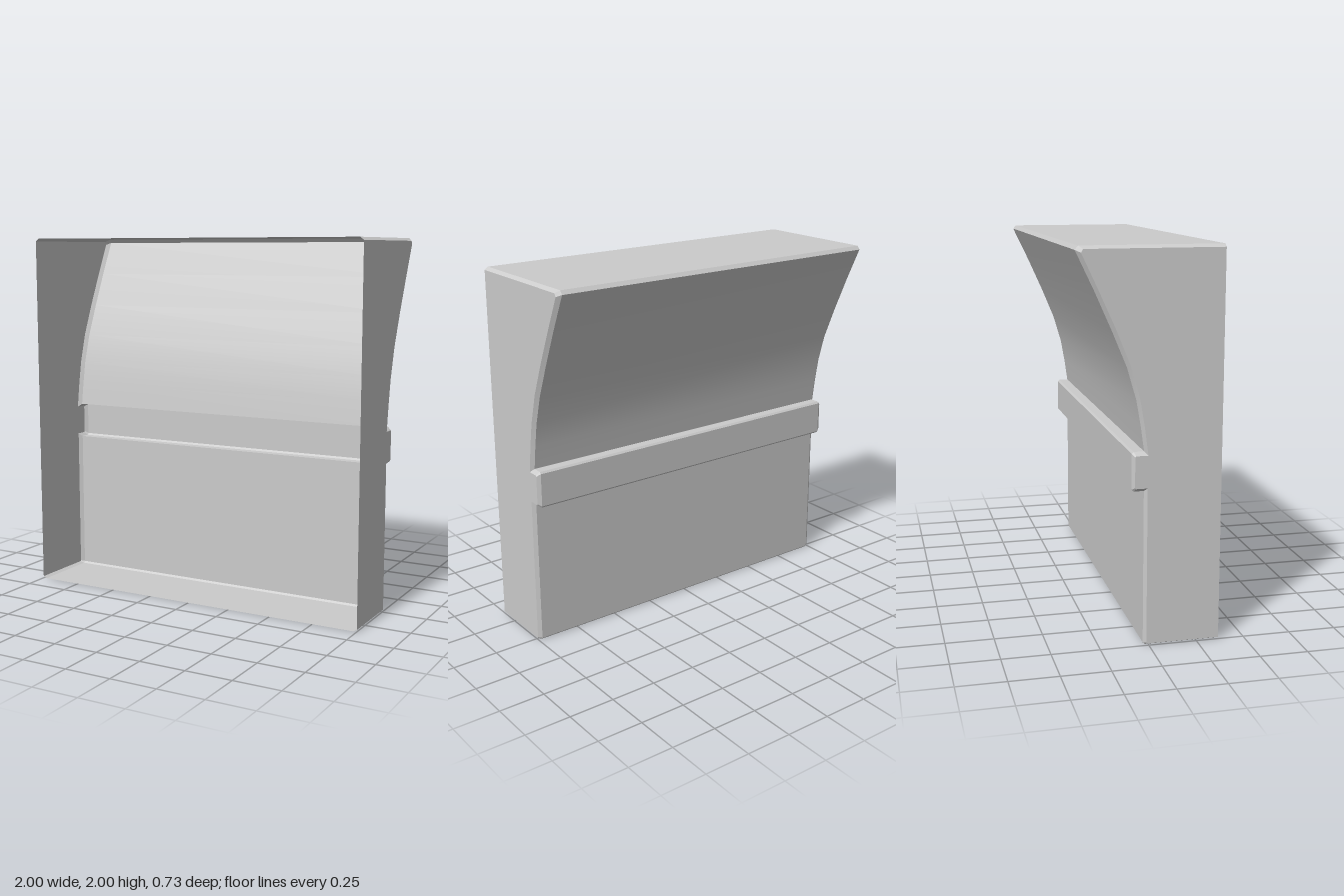
import * as THREE from 'three';
import { toCreasedNormals } from 'three/addons/utils/BufferGeometryUtils.js';

const material = new THREE.MeshStandardMaterial({ color: 0xcccccc, side: THREE.DoubleSide });
const HALF = 1, BEVEL = 0.02;

// Profile sections running from the open front, under, up the back and over the top.
// Each point: [z, y, z at the side wall, y at the side wall]
const sections = {
  bottomPanel: [[0.365, 0, 0.365, 0.01], [-0.017, 0, -0.01, 0.01], [-0.027, 0.01, -0.013, 0.015]],
  lowerBackPanel: [[-0.027, 0.01, -0.013, 0.015], [-0.027, 0.803, -0.013, 0.82]],
  ledge: [
    [-0.027, 0.803, -0.013, 0.82], [-0.08, 0.803, -0.071, 0.82], [-0.089, 0.813, -0.076, 0.826],
    [-0.089, 0.993, -0.076, 0.98], [-0.08, 1.003, -0.071, 0.985], [-0.027, 1.003, -0.01, 0.985],
  ],
  cove: [
    [-0.027, 1.003, -0.01, 0.985], [-0.045, 1.13, -0.029, 1.125], [-0.068, 1.26, -0.052, 1.26],
    [-0.115, 1.42, -0.098, 1.425], [-0.19, 1.6, -0.172, 1.605], [-0.275, 1.79, -0.256, 1.79],
    [-0.366, 1.98, -0.34, 1.968],
  ],
  topPanel: [[-0.366, 1.98, -0.34, 1.968], [-0.35, 2, -0.33, 1.985], [0.365, 2, 0.365, 1.985]],
};

// Sweeps a section across the width, with a bevel strip at each end
function panel(points) {
  const pos = [], index = [];
  for (const [z, y, zs, ys] of points) {
    pos.push(-HALF, ys, zs, -HALF + BEVEL, y, z, HALF - BEVEL, y, z, HALF, ys, zs);
  }
  for (let i = 0; i < points.length - 1; i++) {
    for (let j = 0; j < 3; j++) {
      const a = i * 4 + j, b = a + 1, c = a + 4, d = a + 5;
      index.push(a, c, b, c, d, b);
    }
  }
  const g = new THREE.BufferGeometry();
  g.setAttribute('position', new THREE.Float32BufferAttribute(pos, 3));
  g.setIndex(index);
  return toCreasedNormals(g, 0.4);
}

// Flat end wall following the inset profile
function sideWall(side) {
  const outline = Object.values(sections).flatMap((s, i) => (i ? s.slice(1) : s));
  const shape = new THREE.Shape(outline.map(([, , z, y]) => new THREE.Vector2(-side * z, y)));
  return new THREE.ShapeGeometry(shape).rotateY(side * Math.PI / 2).translate(side * HALF, 0, 0);
}

export function createModel() {
  const group = new THREE.Group();
  group.name = 'wallSection';
  const add = (name, geometry) => {
    const mesh = new THREE.Mesh(geometry, material);
    mesh.name = name;
    group.add(mesh);
  };
  for (const [name, points] of Object.entries(sections)) add(name, panel(points));
  add('leftWall', sideWall(1));
  add('rightWall', sideWall(-1));
  return group;
}
